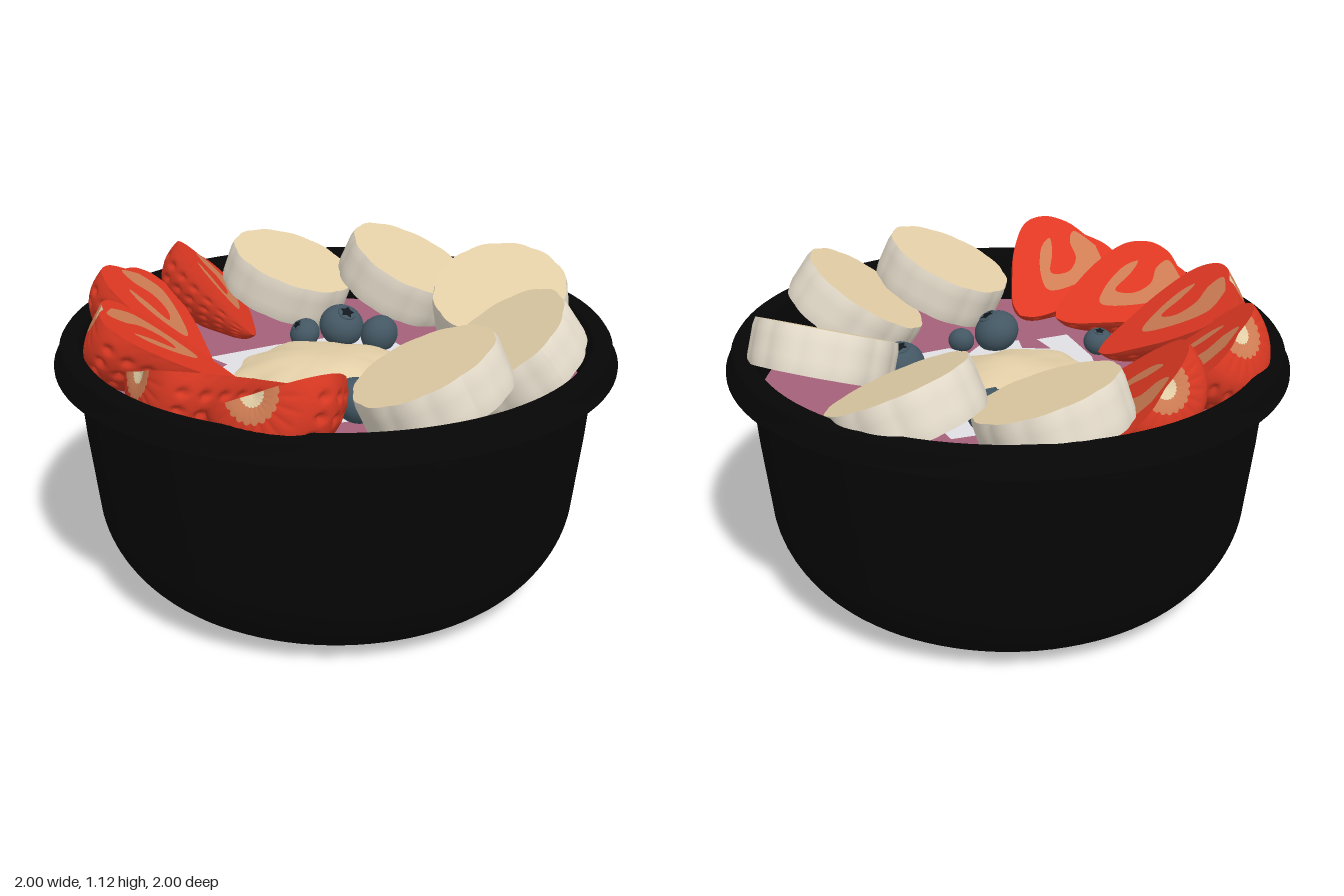
import * as THREE from 'three';

const mat = (name, color) => {
  const m = new THREE.MeshStandardMaterial({ color });
  m.name = name;
  return m;
};
const M = {
  bowl: mat('bowl black', 0x060606),
  puree: mat('berry puree', 0xa5607a),
  yogurt: mat('pale yogurt', 0xe0e0e4),
  cream: mat('banana cream', 0xe4d0a8),
  peel: mat('banana edge', 0xe6ddcc),
  skin: mat('strawberry skin', 0xd83822),
  flesh: mat('strawberry flesh', 0xdf3822),
  pith: mat('strawberry pith', 0xcf7d54),
  blue: mat('blueberry', 0x435763),
  crown: mat('blueberry crown', 0x11171c),
};
const LEVEL = 0.73; // surface of the puree
const V = (a) => new THREE.Vector3(...a);
const P = (list) => list.map(([x, y]) => new THREE.Vector2(x, y));
const UP = new THREE.Vector3(0, 1, 0);

function add(parent, name, geometry, material) {
  const mesh = new THREE.Mesh(geometry, material);
  mesh.name = name;
  parent.add(mesh);
  return mesh;
}

// Calls fn on every vertex and writes it back
function warp(geometry, fn) {
  const pos = geometry.attributes.position, v = new THREE.Vector3();
  for (let i = 0; i < pos.count; i++) {
    v.fromBufferAttribute(pos, i);
    fn(v);
    pos.setXYZ(i, v.x, v.y, v.z);
  }
  geometry.computeVertexNormals();
  return geometry;
}

// Bowl: sharp corners come from doubled profile points
function bowlGeometry() {
  const belly = new THREE.CubicBezierCurve(...P([[0.66, 0.035], [0.75, 0.045], [0.855, 0.17], [0.875, 0.3]])).getPoints(12);
  return new THREE.LatheGeometry([
    ...P([[0, 0.015], [0.5, 0.015], [0.51, 0.005], [0.54, 0.005], [0.545, 0.012], [0.545, 0.034], [0.545, 0.035]]),
    ...belly,
    ...P([[0.905, 0.6], [0.923, 0.849], [0.924, 0.85], [0.998, 0.85], [1, 0.852], [1, 0.862], [0.985, 0.88],
      [0.978, 0.92], [0.968, 0.934], [0.915, 0.934], [0.905, 0.928], [0.903, 0.91], [0.892, 0.7], [0.85, 0.3], [0.6, 0.08], [0, 0.07]]),
  ], 96);
}

// Banana slice: scalloped disc
function bananaGeometry(seed) {
  const g = new THREE.CylinderGeometry(0.25, 0.25, 0.16, 112, 6);
  return warp(g, (v) => {
    const a = Math.atan2(v.z, v.x);
    const f = 0.99 + 0.025 * Math.abs(Math.sin(6 * a + seed)) + 0.015 * Math.sin(3 * a + seed * 2)
      - (Math.abs(v.y) > 0.07 ? 0.02 : 0);
    v.x *= f;
    v.z *= f;
  });
}

// Strawberry half: axis on y with the tip up, cut face looking to -x
const berryProfile = new THREE.SplineCurve(P([[0, -0.235], [0.09, -0.245], [0.175, -0.21], [0.215, -0.12],
  [0.18, 0.02], [0.12, 0.14], [0.055, 0.25], [0, 0.29]])).getPoints(70);
berryProfile.forEach((p) => { p.x = Math.max(0, p.x); });

// One band of the skin, dimpled where the seeds sit
function skinBand(from, to) {
  const g = new THREE.LatheGeometry(berryProfile.slice(from, to), 72, 0, Math.PI);
  return warp(g, (v) => {
    const phi = Math.atan2(v.x, v.z);
    const d = Math.max(0, Math.sin(45 * v.y + 10 * phi) * Math.sin(45 * v.y - 10 * phi));
    const f = 1 - 0.09 * d * d * Math.min(1, 3 * Math.sin(phi));
    v.x *= f;
    v.z *= f;
  });
}

function plate(shape, lift) {
  return new THREE.ShapeGeometry(shape, 24).translate(0, 0, lift).rotateY(-Math.PI / 2);
}

function strawberry([pos, normal, tip, scale]) {
  const group = new THREE.Group();
  group.name = 'strawberryHalf';
  add(group, 'stemScar', skinBand(0, 6), M.cream);
  add(group, 'stemHalo', skinBand(5, 11), M.pith);
  add(group, 'strawberrySkin', skinBand(10, 71), M.skin);
  const outline = [...berryProfile, ...berryProfile.slice(1, -1).reverse().map((p) => new THREE.Vector2(-p.x, p.y))];
  add(group, 'cutFace', plate(new THREE.Shape(outline), 0), M.flesh);
  // Horseshoe of pale pith around the core
  const pith = new THREE.Shape();
  pith.moveTo(-0.06, -0.21);
  pith.splineThru(P([[-0.13, -0.13], [-0.1, 0], [-0.03, 0.11], [0.04, 0.06], [0.1, -0.05], [0.1, -0.12],
    [0.055, -0.06], [0.01, 0.03], [-0.04, -0.02], [-0.03, -0.1], [0.03, -0.16], [0.04, -0.22], [-0.06, -0.21]]));
  add(group, 'pith', plate(pith, 0.003), M.pith);
  const n = V(normal).normalize(), t = V(tip);
  t.addScaledVector(n, -t.dot(n)).normalize();
  const x = n.clone().negate();
  group.quaternion.setFromRotationMatrix(new THREE.Matrix4().makeBasis(x, t, x.clone().cross(t)));
  group.position.set(...pos);
  group.scale.setScalar(scale);
  return group;
}

// Blueberry: flattened ball with a dark ringed crown
function blueberry([x, z, r], i) {
  const group = new THREE.Group();
  group.name = 'blueberry';
  add(group, 'berry', new THREE.SphereGeometry(1, 28, 18).scale(1, 0.88, 1), M.blue);
  add(group, 'crownRing', new THREE.TorusGeometry(0.34, 0.07, 8, 20).rotateX(Math.PI / 2).translate(0, 0.82, 0), M.blue);
  const star = new THREE.Shape();
  for (let k = 0; k < 10; k++) {
    const a = k * Math.PI / 5, q = k % 2 ? 0.2 : 0.34;
    star[k ? 'lineTo' : 'moveTo'](q * Math.cos(a), q * Math.sin(a));
  }
  add(group, 'crown', new THREE.ShapeGeometry(star).rotateX(-Math.PI / 2).translate(0, 0.89, 0), M.crown);
  group.scale.setScalar(r);
  group.position.set(x, LEVEL + r * 0.75, z);
  group.rotation.set(0.7 * Math.sin(i * 2.1), i, 0.7 * Math.cos(i * 1.7));
  return group;
}

export function createModel() {
  const model = new THREE.Group();
  model.name = 'fruitBowl';
  add(model, 'bowl', bowlGeometry(), M.bowl);
  add(model, 'puree', new THREE.CircleGeometry(0.894, 96).rotateX(-Math.PI / 2).translate(0, LEVEL, 0), M.puree);

  // Ragged yogurt patch; shape y points to the back
  const patch = new THREE.Shape(P([[-0.33, 0.4], [-0.05, 0.4], [0.1, 0.38], [0.36, 0.36], [0.38, 0.05], [0.3, -0.02],
    [0.37, -0.1], [0.36, -0.27], [0.25, -0.24], [0.2, -0.3], [0.24, -0.38], [0.08, -0.39], [0.03, -0.31], [-0.05, -0.38],
    [-0.2, -0.36], [-0.18, -0.28], [-0.28, -0.23], [-0.27, -0.34], [-0.4, -0.34], [-0.39, -0.1], [-0.36, 0], [-0.4, 0.1],
    [-0.38, 0.25], [-0.3, 0.3]]));
  add(model, 'yogurtPatch', new THREE.ShapeGeometry(patch).rotateX(-Math.PI / 2).translate(0, LEVEL + 0.006, 0), M.yogurt);

  // Soft lumpy mound in the middle
  const mound = new THREE.LatheGeometry(new THREE.SplineCurve(P([[0.34, LEVEL], [0.29, LEVEL + 0.025], [0.2, LEVEL + 0.055],
    [0.1, LEVEL + 0.078], [0, LEVEL + 0.085]])).getPoints(20), 72);
  warp(mound, (v) => {
    const a = Math.atan2(v.z, v.x), r = Math.hypot(v.x, v.z);
    const f = 1 + r * (0.15 * Math.sin(3 * a + 1) + 0.1 * Math.sin(5 * a + 2) + 0.1 * Math.sin(11 * a));
    v.y += 0.006 * Math.sin(17 * v.x + 1) * Math.sin(15 * v.z) * (r < 0.3 ? 1 : 0);
    v.x = v.x * f - 0.02;
    v.z = v.z * f - 0.04;
  });
  add(model, 'mound', mound, M.cream);

  // Fruit crumbs on the surface: x, z, radius, height over the puree
  for (const [x, z, r, h] of [[-0.25, 0.78, 0.045, 0.004], [-0.2, 0.81, 0.03, 0.004], [-0.3, -0.08, 0.022, 0.02], [-0.27, 0.06, 0.016, 0.022]]) {
    add(model, 'crumb', new THREE.SphereGeometry(r, 10, 6).scale(1, 0.4, 0.7), M.pith).position.set(x, LEVEL + h, z);
  }

  // Banana slices: centre, then the way the top face looks
  [
    [[0.005, 0.94, 0.645], [-0.4, 1, -0.22]],
    [[0.41, 0.925, 0.51], [-0.65, 1, -0.22]],
    [[0.665, 0.935, 0.065], [-0.35, 1, 0.3]],
    [[0.535, 0.922, -0.435], [0.3, 1, 0.35]],
    [[0.13, 0.91, -0.655], [0.25, 1, 0.27]],
  ].forEach(([pos, normal], i) => {
    const slice = add(model, 'bananaSlice', bananaGeometry(i * 1.3), [M.peel, M.cream, M.cream]);
    slice.position.set(...pos);
    slice.quaternion.setFromUnitVectors(UP, V(normal).normalize());
  });

  // Strawberry halves: centre, cut-face direction, tip direction, size
  [
    [[-0.18, 0.92, -0.6], [0.65, 0.65, 0.25], [0.1, -0.35, 1], 0.94],
    [[-0.49, 0.925, -0.43], [0.48, 0.65, 0.28], [0.22, -0.2, 0.42], 1.03],
    [[-0.61, 0.945, -0.09], [0.46, 0.75, 0.1], [0.43, -0.2, 0.19], 1.05],
    [[-0.59, 0.935, 0.235], [0.22, 0.78, -0.3], [0.5, -0.2, 0.03], 1.03],
    [[-0.43, 0.95, 0.505], [0, 0.8, -0.5], [0.42, -0.15, -0.32], 1.05],
  ].forEach((s) => model.add(strawberry(s)));

  // Blueberries: x, z, radius
  [
    [0.06, -0.37, 0.06], [0.2, -0.33, 0.087], [0.295, -0.2, 0.075], [0.355, 0.045, 0.05], [0.275, 0.09, 0.04],
    [0.345, 0.185, 0.087], [-0.1, 0.345, 0.087], [0.035, 0.375, 0.05], [-0.44, 0.145, 0.057],
  ].forEach((b, i) => model.add(blueberry(b, i)));

  return model;
}
